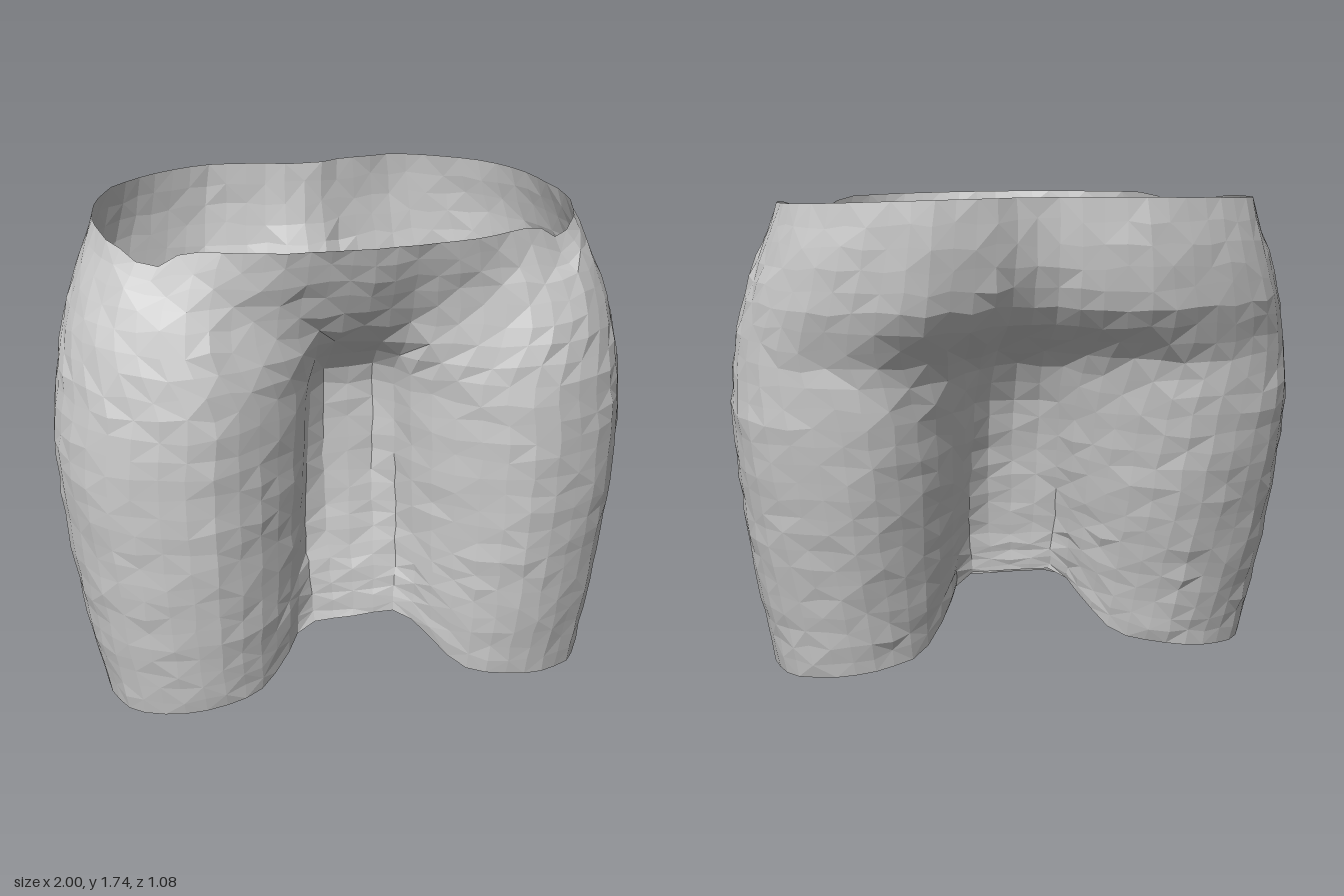
import * as THREE from 'three';

const { lerp, smoothstep } = THREE.MathUtils;

// Height, front centre z, thigh front z, outer x, outer z, back z, back centre z,
// then waist(0)-to-leg(1) blend for the front and for the back
const SECTIONS = [
  [0.00, 0.24, 0.45, 0.88, 0.13, -0.17, 0.12, 1, 1],
  [0.30, 0.22, 0.49, 0.93, 0.12, -0.23, 0.115, 1, 1],
  [0.55, 0.175, 0.515, 0.965, 0.11, -0.29, 0.10, 1, 1],
  [0.80, 0.15, 0.53, 0.99, 0.10, -0.345, 0.075, 1, 1],
  [1.00, 0.14, 0.535, 1.00, 0.09, -0.375, 0.03, 1, 1],
  [1.15, 0.14, 0.53, 0.985, 0.08, -0.385, -0.06, 1, 1],
  [1.22, 0.17, 0.52, 0.975, 0.07, -0.40, -0.16, 1, 0.8],
  [1.30, 0.27, 0.505, 0.96, 0.06, -0.46, -0.32, 0.9, 0.45],
  [1.40, 0.36, 0.475, 0.935, 0.04, -0.515, -0.40, 0.5, 0.12],
  [1.50, 0.415, 0.43, 0.90, 0.02, -0.535, -0.44, 0.1, 0],
  [1.62, 0.46, 0.38, 0.85, 0.0, -0.54, -0.465, 0, 0],
  [1.72, 0.485, 0.35, 0.815, 0.0, -0.53, -0.47, 0, 0],
];

// Smooth half outline from the front centre, round the side, to the back centre
function halfOutline([y, zf, zF, xo, zc, zB, zb, wf, wb], count) {
  const xb = lerp(0.38, 0.58, wb);
  const up = Math.min(1, y / 1.15);
  const web = lerp(0.19, 0.11, up); // half width of the web between the legs
  const key = [
    [0, zf],
    [lerp(0.16, web, wf), zf + lerp(-0.01, 0.01, wf)],
    [lerp(0.30, web + 0.09, wf), lerp(zf, zF, lerp(0.2, 0.45, wf))],
    [0.40, lerp(zf, zF, lerp(0.4, 0.85, wf))],
    [0.58, zF],
    [0.58 + (xo - 0.58) * 0.72, zc + (zF - zc) * 0.7],
    [xo, zc],
    [xb + (xo - xb) * 0.76, zc + (zB - zc) * 0.68],
    [xb, zB],
    [lerp(0.24, 0.36, wb), lerp(zb, zB, lerp(0.8, lerp(0.76, 0.84, up), wb))],
    [lerp(0.13, lerp(0.25, 0.2, up), wb), lerp(zb, zB, lerp(0.5, 0.43, wb))],
    [lerp(0.06, lerp(0.2, 0.09, up), wb), lerp(zb, zB, 0.07)],
    [0, zb],
  ].map(([x, z]) => new THREE.Vector3(x, 0, z));
  return new THREE.CatmullRomCurve3(key).getSpacedPoints(count);
}

// Section values at any height
function sectionAt(y) {
  let i = 0;
  while (i < SECTIONS.length - 2 && SECTIONS[i + 1][0] < y) i++;
  const a = SECTIONS[i], b = SECTIONS[i + 1];
  const t = (y - a[0]) / (b[0] - a[0]);
  return a.map((v, k) => lerp(v, b[k], t));
}

// Uneven hem: arched between the legs, a little higher on the right leg
function hemHeight(x, arch) {
  const s = Math.abs(x);
  const t = (s - 0.35) / 0.53;
  const outer = x > 0 ? lerp(0.08, 0.01, t) : lerp(0.12, 0.05, t);
  return lerp(arch, outer, smoothstep(s, 0.14, 0.38));
}

function createShell() {
  const rows = 26, half = 32, cols = half * 2;
  let seed = 7;
  const jitter = (amount) => {
    seed = (seed * 16807) % 2147483647;
    return (seed / 2147483647 - 0.5) * amount;
  };
  const pos = [], index = [];
  for (let r = 0; r <= rows; r++) {
    const y = 1.72 * r / rows;
    const side = halfOutline(sectionAt(y), half);
    const inside = r > 0 && r < rows;
    for (let c = 0; c < cols; c++) {
      const k = c <= half ? c : cols - c;
      const p = side[k];
      const x = c <= half ? p.x : -p.x;
      // waist rim rises at the back, falls to the sides and dips where belly meets hip
      const rim = Math.max(0, (y - 1.5) / 0.22);
      const dip = p.z > 0.1 ? 0.06 * Math.exp(-(((p.x - 0.68) / 0.07) ** 2)) : 0;
      const hem = hemHeight(x, k > half / 2 ? 0.31 : 0.26) * Math.max(0, 1 - y / 0.9) ** 2;
      const yy = y + hem - rim * (0.06 * p.z + 0.025 * p.x * p.x + dip);
      pos.push(x + jitter(0.008), yy + (inside ? jitter(0.02) : 0), p.z + jitter(0.008));
    }
  }
  for (let r = 0; r < rows; r++) {
    for (let c = 0; c < cols; c++) {
      const a = r * cols + c, b = r * cols + (c + 1) % cols;
      const d = a + cols, e = b + cols;
      if ((r + c) % 2) index.push(a, b, e, a, e, d);
      else index.push(a, b, d, b, e, d);
    }
  }
  const geo = new THREE.BufferGeometry();
  geo.setAttribute('position', new THREE.Float32BufferAttribute(pos, 3));
  geo.setIndex(index);
  geo.computeVertexNormals();
  return geo;
}

export function createModel() {
  const group = new THREE.Group();
  group.name = 'shorts';
  const material = new THREE.MeshStandardMaterial({
    color: 0xcccccc, flatShading: true, side: THREE.DoubleSide,
  });
  // One open shell: waist, seat and both legs
  const shell = new THREE.Mesh(createShell(), material);
  shell.name = 'hipsAndLegs';
  group.add(shell);
  return group;
}
